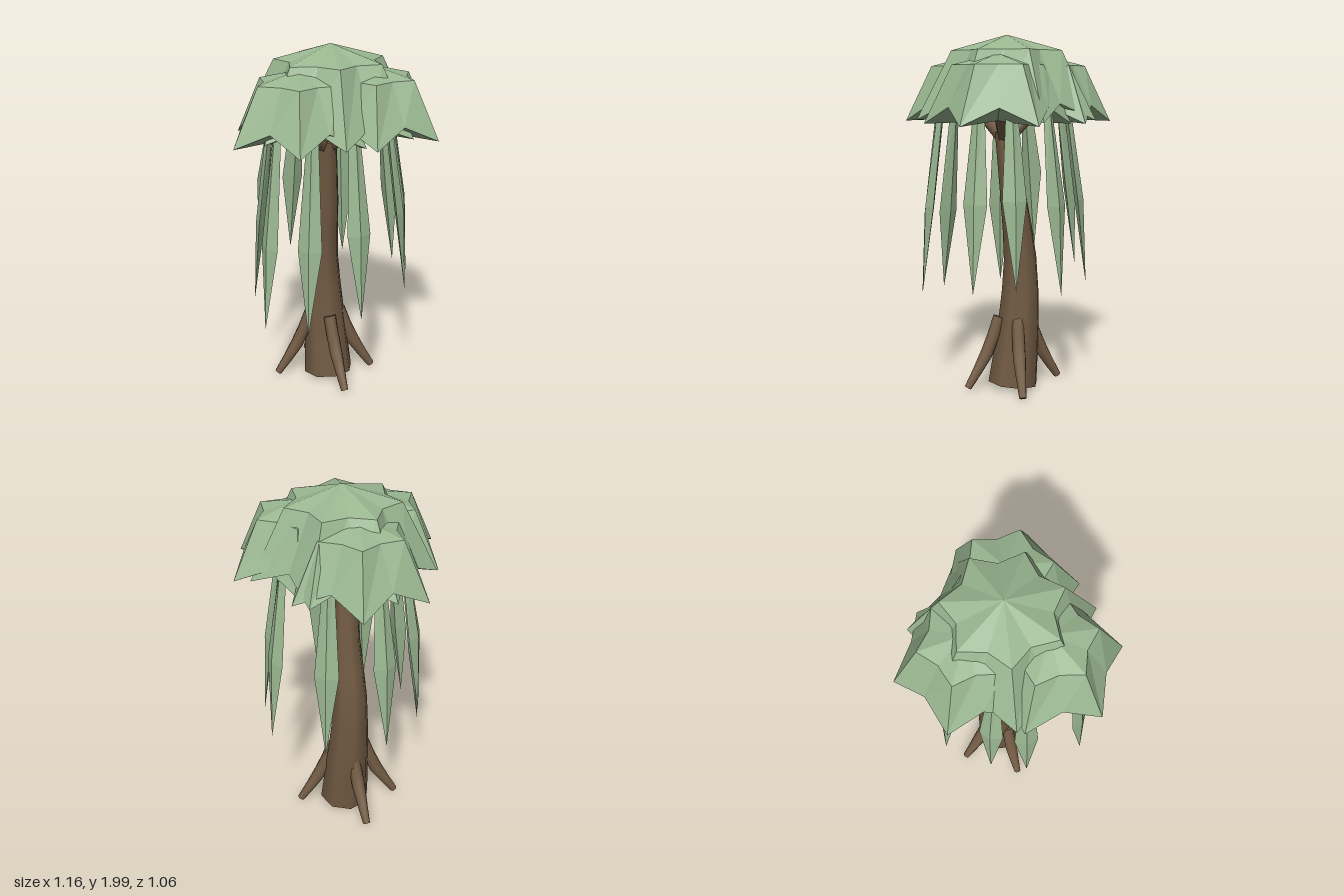
import * as THREE from 'three';

const V = (x, y, z) => new THREE.Vector3(x, y, z);

// Tapered limb along a curve, smooth sides and flat ends
function limb(name, points, radii, sides, material) {
  const n = (points.length - 1) * 2;
  const curve = new THREE.CatmullRomCurve3(points);
  const tube = new THREE.TubeGeometry(curve, n, 1, sides, false);
  const pos = tube.attributes.position;
  const v = V(0, 0, 0);
  for (let i = 0; i <= n; i++) {
    const c = curve.getPointAt(i / n);
    const f = (i / n) * (radii.length - 1);
    const k = Math.min(Math.floor(f), radii.length - 2);
    const r = THREE.MathUtils.lerp(radii[k], radii[k + 1], f - k);
    for (let j = 0; j <= sides; j++) {
      const id = i * (sides + 1) + j;
      v.fromBufferAttribute(pos, id).sub(c).multiplyScalar(r).add(c);
      pos.setXYZ(id, v.x, v.y, v.z);
    }
  }
  const group = new THREE.Group();
  group.name = name;
  const side = new THREE.Mesh(tube, material);
  side.name = name + 'Side';
  group.add(side);
  // end discs
  for (const end of [0, n]) {
    const c = curve.getPointAt(end / n);
    const ring = [];
    for (let j = 0; j <= sides; j++) ring.push(V(0, 0, 0).fromBufferAttribute(pos, end * (sides + 1) + j));
    const tris = [];
    const axis = curve.getTangentAt(end / n).multiplyScalar(end ? 1 : -1);
    for (let j = 0; j < sides; j++) {
      const [a, b] = [ring[j], ring[j + 1]];
      const out = a.clone().sub(c).cross(b.clone().sub(c)).dot(axis) > 0;
      tris.push(c, out ? a : b, out ? b : a);
    }
    const disc = flatMesh(name + 'End', tris, material);
    group.add(disc);
  }
  return group;
}

// Flat-faced mesh from a list of triangle corners
function flatMesh(name, corners, material) {
  const g = new THREE.BufferGeometry().setFromPoints(corners);
  g.computeVertexNormals();
  const m = new THREE.Mesh(g, material);
  m.name = name;
  return m;
}

// Umbrella-shaped leaf cap with a star outline
function leafCap({ name, x, z, top, ringY, rimY, ringR, rimR, points, turn }, material) {
  const n = points * 2;
  const at = (i, r, y, lift) => {
    const valley = i % 2 === 1;
    const a = turn + (i / n) * Math.PI * 2;
    const q = valley ? r * 0.76 : r;
    return V(x + Math.cos(a) * q, y + (valley ? lift : 0), z + Math.sin(a) * q);
  };
  const apex = V(x, top, z), under = V(x, rimY + 0.015, z);
  const tris = [];
  for (let i = 0; i < n; i++) {
    const a = at(i, ringR, ringY, 0), b = at(i + 1, ringR, ringY, 0);
    const c = at(i, rimR, rimY, 0.09), d = at(i + 1, rimR, rimY, 0.09);
    tris.push(apex, b, a, a, b, d, a, d, c, under, c, d);
  }
  return flatMesh(name, tris, material);
}

// Hanging leaf strand: diamond cross-sections, widest in the middle
function strand(tipX, tipY, tipZ, material) {
  const a = Math.atan2(tipZ, tipX), R = Math.hypot(tipX, tipZ);
  const out = V(Math.cos(a), 0, Math.sin(a)), side = V(-Math.sin(a), 0, Math.cos(a));
  const midY = tipY + 0.47;
  const section = (r, y, w, t) => [[1, 0], [0, 1], [-1, 0], [0, -1]].map(([o, s]) =>
    out.clone().multiplyScalar(r + o * t).addScaledVector(side, s * w).setY(y));
  const top = section(R - 0.12, 1.64, 0.028, 0.018);
  const mid = section(R - 0.045, midY, 0.065, 0.025);
  const tip = out.clone().multiplyScalar(R).setY(tipY);
  const tris = [];
  for (let i = 0; i < 4; i++) {
    const j = (i + 1) % 4;
    tris.push(top[i], top[j], mid[j], top[i], mid[j], mid[i], mid[i], mid[j], tip);
  }
  tris.push(top[0], top[2], top[1], top[0], top[3], top[2]);
  return flatMesh('leafStrand', tris, material);
}

export function createModel() {
  const bark = new THREE.MeshStandardMaterial({ color: 0x735c44 });
  bark.name = 'barkBrown';
  const leaf = new THREE.MeshStandardMaterial({ color: 0x9ab791 });
  leaf.name = 'leafGreen';
  const tree = new THREE.Group();
  tree.name = 'tree';

  // Trunk
  tree.add(limb('trunk', [
    V(-0.05, 0.03, -0.075), V(-0.085, 0.4, -0.095), V(-0.1, 0.75, -0.095),
    V(-0.062, 1.1, -0.07), V(-0.038, 1.48, -0.03),
  ], [0.146, 0.122, 0.097, 0.075, 0.06], 8, bark));

  // Roots spreading to the four corners
  for (const sx of [-1, 1]) for (const sz of [-1, 1]) {
    tree.add(limb('root', [
      V(-0.07 + sx * 0.065, 0.42, -0.07 + sz * 0.06),
      V(-0.07 + sx * 0.125, 0.23, -0.07 + sz * 0.1),
      V(-0.07 + sx * 0.225, 0.025, -0.07 + sz * 0.175),
    ], [0.036, 0.038, 0.021], 8, bark));
  }

  // Leaf caps: one on top and three around it
  const deg = Math.PI / 180;
  const caps = [
    { name: 'topLeafCap', x: -0.02, z: -0.05, top: 2, ringY: 1.915, rimY: 1.545, ringR: 0.305, rimR: 0.495, points: 7, turn: 1.6 * deg },
  ];
  for (const [name, x, z, turn] of [
    ['frontLeafCap', -0.075, 0.19, 0], ['backRightLeafCap', -0.19, -0.18, -2], ['leftLeafCap', 0.197, -0.11, 0],
  ]) caps.push({ name, x, z, top: 1.895, ringY: 1.835, rimY: 1.53, ringR: 0.24, rimR: 0.388, points: 6, turn: turn * deg });
  caps.forEach((c) => tree.add(leafCap(c, leaf)));

  // Branches from the trunk top into each cap
  for (const c of caps) {
    const end = V(c.x, c === caps[0] ? 1.75 : 1.62, c.z);
    const start = V(-0.04, 1.43, -0.03);
    tree.add(limb('branch', [start, start.clone().lerp(end, 0.5), end], [0.042, 0.036, 0.028], 6, bark));
  }

  // Hanging strands, given by their tips
  for (const [x, y, z] of [
    [0.43, 0.65, -0.09], [0.34, 0.61, 0.28], [0.105, 0.53, 0.44], [-0.155, 0.51, 0.455], [-0.39, 0.54, 0.19],
    [-0.475, 0.745, 0], [-0.43, 0.68, -0.29], [-0.16, 0.64, -0.475], [0.18, 0.64, -0.48], [0.345, 0.67, -0.3],
  ]) tree.add(strand(x, y, z, leaf));

  return tree;
}
